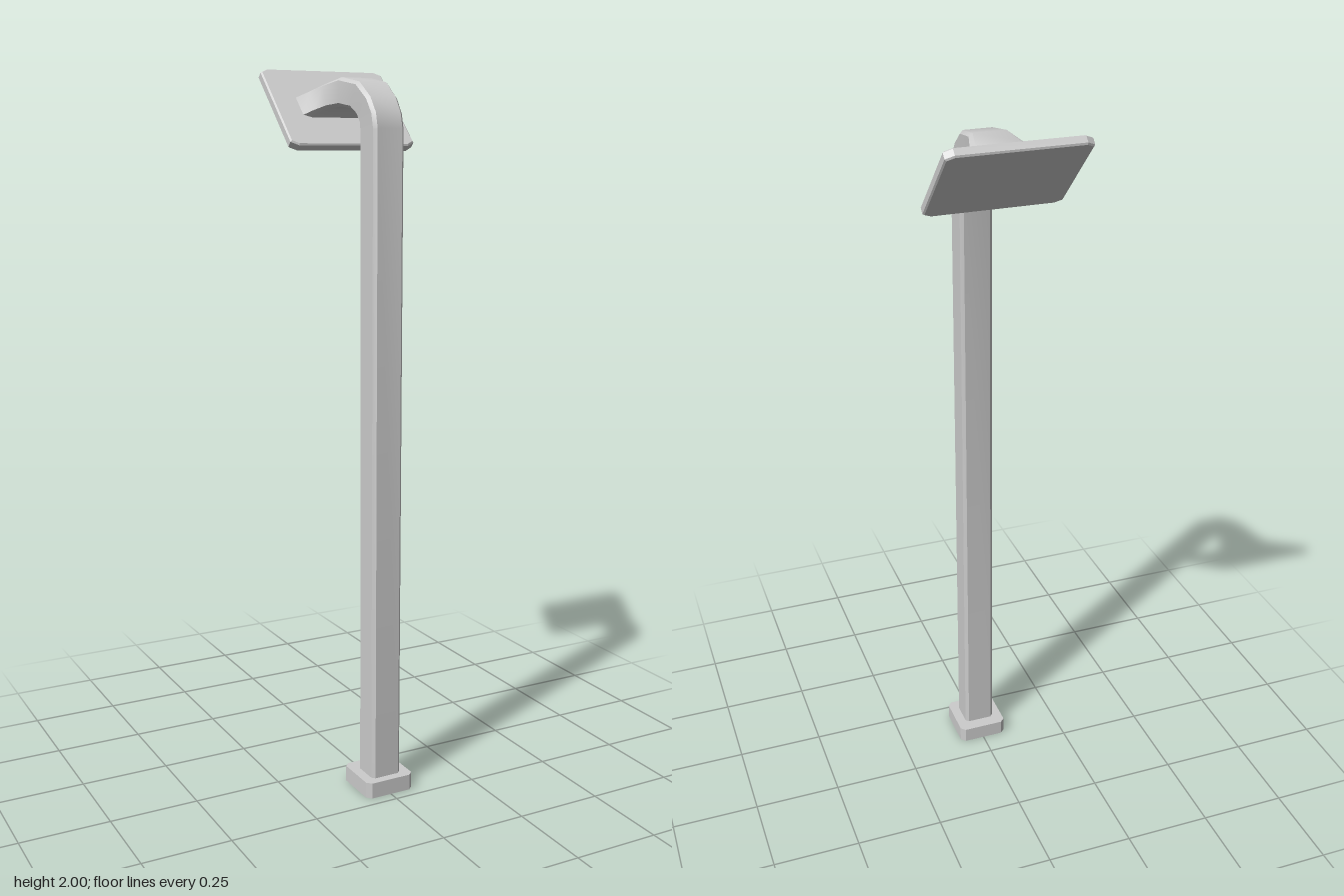
import * as THREE from 'three';
import { toCreasedNormals } from 'three/addons/utils/BufferGeometryUtils.js';

// Skin through chamfered-rectangle sections.
// Each section: [outer z, outer y, inner z, inner y, half width, chamfer x, chamfer as share of depth]
function loft(sections) {
  const pos = [], index = [];
  for (const [oz, oy, iz, iy, w, cx, cd] of sections) {
    const loop = [
      [-w + cx, 0], [w - cx, 0], [w, cd], [w, 1 - cd],
      [w - cx, 1], [-w + cx, 1], [-w, 1 - cd], [-w, cd],
    ];
    for (const [x, t] of loop) pos.push(x, oy + (iy - oy) * t, oz + (iz - oz) * t);
  }
  for (let i = 0; i < sections.length - 1; i++) {
    for (let j = 0; j < 8; j++) {
      const a = i * 8 + j, b = i * 8 + (j + 1) % 8;
      index.push(a, b, a + 8, b, b + 8, a + 8);
    }
  }
  const geo = new THREE.BufferGeometry();
  geo.setAttribute('position', new THREE.Float32BufferAttribute(pos, 3));
  geo.setIndex(index);
  return toCreasedNormals(geo, 0.65);
}

export function createModel() {
  const group = new THREE.Group();
  const solid = new THREE.MeshStandardMaterial({ color: 0xcccccc });
  const open = new THREE.MeshStandardMaterial({ color: 0xcccccc, side: THREE.DoubleSide });
  const add = (name, geo, mat) => {
    const mesh = new THREE.Mesh(geo, mat);
    mesh.name = name;
    group.add(mesh);
    return mesh;
  };

  // Hollow foot, open underneath, closing in to the post at its top
  const H = 0.045;
  add('foot', loft([
    [0.218, 0, 0.071, 0, 0.073, 0.013, 0.09],
    [0.218, H, 0.071, H, 0.073, 0.013, 0.09],
    [0.193, H, 0.108, H, 0.045, 0.009, 0.11],
  ]), open);

  // Post that bends backwards and flares into a wide mount for the plate
  const path = [
    [0.193, H, 0.108, H, 0.045],
    [0.193, 1.835, 0.108, 1.82, 0.045],
    [0.183, 1.875, 0.103, 1.85, 0.045],
    [0.155, 1.915, 0.088, 1.87, 0.046],
    [0.1, 1.955, 0.06, 1.887, 0.049],
    [0.01, 1.97, 0.01, 1.895, 0.055],
    [-0.05, 1.957, -0.025, 1.891, 0.072],
    [-0.09, 1.942, -0.05, 1.88, 0.095],
    [-0.13, 1.927, -0.07, 1.867, 0.118],
  ];
  add('postAndArm', loft(path.map((s) => [...s, s[4] * 0.19, 0.11])), open);

  // Tilted plate with clipped corners
  const w = 0.188, h = 0.145, cx = 0.022, cy = 0.013, t = 0.026;
  const outline = new THREE.Shape([
    [-w + cx, -h], [w - cx, -h], [w, -h + cy], [w, h - cy],
    [w - cx, h], [-w + cx, h], [-w, h - cy], [-w, -h + cy],
  ].map(([x, y]) => new THREE.Vector2(x, y)));
  const b = 0.004;
  const plateGeo = new THREE.ExtrudeGeometry(outline, {
    depth: t - 2 * b, bevelEnabled: true, bevelThickness: b, bevelSize: b, bevelOffset: -b, bevelSegments: 1,
  });
  plateGeo.translate(0, 0, -t / 2 + b);
  const plate = add('plate', plateGeo, solid);
  plate.rotation.x = -Math.PI / 4;
  plate.position.set(0, 1.889, -0.108);

  return group;
}
